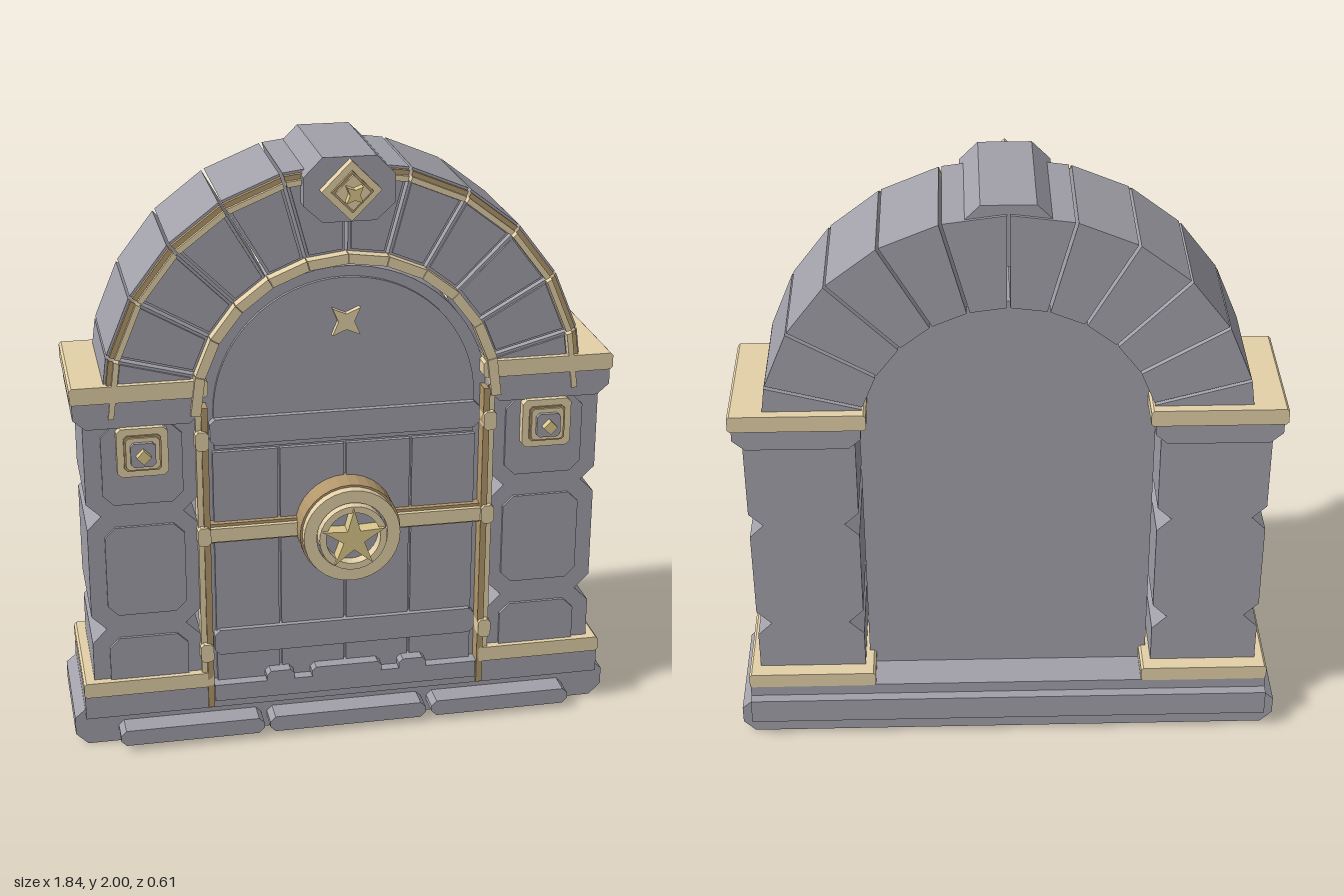
import * as THREE from 'three';

const mat = (name, color) => new THREE.MeshStandardMaterial({ name, color });

export function createModel() {
  const stone = mat('stone', 0xa2a1aa);
  const tan = mat('tan trim', 0xe4d1a8);
  const brown = mat('brown trim', 0xb3976c);
  const gold = mat('gold', 0xdcc88c);
  const model = new THREE.Group();
  model.name = 'archedDoorway';

  const toShape = (pts) => new THREE.Shape(pts.map(([x, y]) => new THREE.Vector2(x, y)));
  // Flat outline extruded from z0 to z1
  function slab(name, shape, z0, z1, material, parent = model) {
    const s = Array.isArray(shape) ? toShape(shape) : shape;
    const geo = new THREE.ExtrudeGeometry(s, { depth: z1 - z0, bevelEnabled: false, curveSegments: 16 });
    geo.translate(0, 0, z0);
    const mesh = new THREE.Mesh(geo, material);
    mesh.name = name;
    parent.add(mesh);
    return mesh;
  }
  // Rectangle with cut corners
  const cut = (x0, x1, y0, y1, c) => [
    [x0 + c, y0], [x1 - c, y0], [x1, y0 + c], [x1, y1 - c],
    [x1 - c, y1], [x0 + c, y1], [x0, y1 - c], [x0, y0 + c]];
  const rect = (x0, x1, y0, y1) => [[x0, y0], [x1, y0], [x1, y1], [x0, y1]];
  const diamond = (x, y, r) => [[x + r, y], [x, y + r], [x - r, y], [x, y - r]];
  function star(x, y, n, r, inner, turn = Math.PI / 2) {
    const pts = [];
    for (let i = 0; i < n * 2; i++) {
      const a = turn + (i * Math.PI) / n, q = i % 2 ? inner : r;
      pts.push([x + q * Math.cos(a), y + q * Math.sin(a)]);
    }
    return pts;
  }
  function disc(x, y, r, hole = 0) {
    const s = new THREE.Shape();
    s.absarc(x, y, r, 0, Math.PI * 2, false);
    if (hole) s.holes.push(new THREE.Path().absarc(x, y, hole, 0, Math.PI * 2, true));
    return s;
  }
  // Upright panel with a round top
  function archShape(w, y0, yc) {
    const s = new THREE.Shape();
    s.moveTo(-w, y0);
    s.lineTo(w, y0);
    s.lineTo(w, yc);
    s.absarc(0, yc, w, 0, Math.PI, false);
    s.lineTo(-w, y0);
    return s;
  }

  // Base: wide foot, top course, back strip and front kerb stones
  slab('baseFoot', [[-0.88, 0], [0.88, 0], [0.92, 0.04], [0.92, 0.1], [0.885, 0.13],
    [-0.885, 0.13], [-0.92, 0.1], [-0.92, 0.04]], -0.265, 0.14, stone);
  slab('baseTop', rect(-0.885, 0.885, 0.115, 0.2), -0.27, 0.18, stone);
  slab('baseBackStrip', rect(-0.885, 0.885, 0.07, 0.16), -0.304, -0.26, stone);
  for (const [a, b] of [[-0.775, -0.29], [-0.27, 0.27], [0.29, 0.775]])
    slab('kerbStone', cut(a, b, 0.022, 0.077, 0.018), 0.13, 0.22, stone);
  slab('threshold', rect(-0.45, 0.45, 0.14, 0.2), 0.12, 0.186, stone);
  for (const [a, b] of [[-0.275, -0.18], [-0.12, 0.12], [0.18, 0.275]])
    slab('stepPlate', cut(a, b, 0.19, 0.236, 0.014), 0.12, 0.19, stone);

  // Door with planks and rails
  const door = new THREE.Group();
  door.name = 'door';
  model.add(door);
  slab('doorSlab', archShape(0.478, 0.18, 1.15), -0.145, 0.135, stone, door);
  slab('doorUpperPanel', archShape(0.43, 1.04, 1.165), 0.13, 0.148, stone, door);
  for (let i = 0; i < 4; i++) {
    const x = -0.44 + i * 0.22;
    slab('plank', rect(x + 0.004, x + 0.216, 0.2, 1.03), 0.13, 0.15, stone, door);
  }
  for (const y of [0.305, 1.06])
    slab('doorRail', cut(-0.445, 0.445, y, y + 0.09, 0.018), 0.13, 0.168, stone, door);
  slab('doorStar', star(0, 1.453, 4, 0.064, 0.026, Math.PI / 4), 0.14, 0.17, tan, door);
  slab('crossBarBack', rect(-0.47, 0.47, 0.718, 0.785), 0.13, 0.168, brown, door);
  slab('crossBar', rect(-0.47, 0.47, 0.728, 0.775), 0.15, 0.184, tan, door);

  // Round medallion
  const medal = new THREE.Group();
  medal.name = 'medallion';
  medal.position.y = 0.752;
  door.add(medal);
  slab('medallionBase', disc(0, 0, 0.167), 0.13, 0.24, brown, medal);
  slab('medallionRing', disc(0, 0, 0.16, 0.118), 0.23, 0.272, tan, medal);
  slab('medallionFace', disc(0, 0, 0.12), 0.23, 0.25, stone, medal);
  slab('medallionInnerRing', disc(0, 0, 0.112, 0.09), 0.245, 0.29, tan, medal);
  slab('medallionStar', star(0, 0, 5, 0.107, 0.036), 0.245, 0.302, gold, medal);

  // Pillars, mirrored left and right
  for (const side of [1, -1]) {
    const p = new THREE.Group();
    p.name = side > 0 ? 'leftPillar' : 'rightPillar';
    model.add(p);
    // mirrored outlines are reversed so that they keep their winding
    const m = (pts) => (side > 0 ? pts : pts.map(([x, y]) => [-x, y]).reverse());
    const add = (n, pts, a, b, c) => slab(n, m(pts), a, b, c, p);
    add('blockLow', [[0.49, 0.2], [0.85, 0.2], [0.85, 0.385], [0.8, 0.435], [0.54, 0.435], [0.49, 0.385]], -0.22, 0.16, stone);
    add('blockMiddle', cut(0.49, 0.85, 0.435, 0.842, 0.048), -0.22, 0.16, stone);
    add('blockTop', [[0.535, 0.842], [0.805, 0.842], [0.85, 0.885], [0.85, 1.16], [0.49, 1.16], [0.49, 0.885]], -0.22, 0.16, stone);
    for (const [a, b] of [[0.2, 0.4], [0.485, 0.8], [0.88, 1.15]])
      add('blockPanel', cut(0.535, 0.795, a, b, 0.035), 0.15, 0.17, stone);
    add('capStone', [[0.51, 1.15], [0.84, 1.15], [0.88, 1.185], [0.88, 1.245], [0.47, 1.245], [0.47, 1.185]], -0.24, 0.18, stone);
    add('capTrim', cut(0.45, 0.887, 1.238, 1.294, 0.008), -0.272, 0.188, tan);
    add('footTrim', cut(0.455, 0.887, 0.198, 0.25, 0.008), -0.272, 0.188, tan);
    // Square rosette
    const x = 0.665, y = 1.07;
    const sq = (r, c) => cut(x - r, x + r, y - r, y + r, c);
    add('rosettePlate', sq(0.082, 0.014), 0.16, 0.2, tan);
    add('rosetteInset', sq(0.06, 0.01), 0.19, 0.206, brown);
    add('rosetteFrame', sq(0.054, 0.01), 0.2, 0.212, tan);
    add('rosetteStone', sq(0.04, 0.01), 0.2, 0.226, stone);
    add('rosetteDiamond', diamond(x, y, 0.024), 0.21, 0.25, gold);
    // Vertical frame rods and clips
    add('frameRodInner', rect(0.453, 0.474, 0.12, 1.2), 0.12, 0.188, brown);
    add('frameRodOuter', rect(0.472, 0.492, 0.2, 1.2), 0.12, 0.18, tan);
    for (const cy of [0.33, 0.755, 1.09])
      add('frameClip', cut(0.453, 0.496, cy - 0.032, cy + 0.032, 0.01), 0.13, 0.2, tan);
  }

  // Arch of twelve wedge stones with trim
  const arch = new THREE.Group();
  arch.name = 'arch';
  model.add(arch);
  const cy = 1.178;
  // straight-sided ring segment, with the same gap along its whole length
  function wedge(i, r0, r1, gap) {
    const a0 = (i * Math.PI) / 12, a1 = ((i + 1) * Math.PI) / 12;
    const pt = (r, a, s) => {
      const t = a + (s * gap) / r;
      return [r * Math.cos(t), cy + r * Math.sin(t)];
    };
    return [pt(r0, a0, 1), pt(r1, a0, 1), pt(r1, a1, -1), pt(r0, a1, -1)];
  }
  for (let i = 0; i < 12; i++) {
    slab('archStone', wedge(i, 0.478, 0.792, 0.005), -0.24, 0.16, stone, arch);
    slab('archStonePanel', wedge(i, 0.515, 0.745, 0.014), 0.15, 0.168, stone, arch);
    slab('archInnerTrim', wedge(i, 0.476, 0.508, 0.001), 0.15, 0.2, tan, arch);
    slab('archOuterTrim', wedge(i, 0.75, 0.768, 0.005), 0.15, 0.188, tan, arch);
    slab('archOuterTrimEdge', wedge(i, 0.768, 0.784, 0.005), 0.15, 0.176, brown, arch);
  }

  // Keystone with diamond emblem
  const key = new THREE.Group();
  key.name = 'keystone';
  model.add(key);
  slab('keystoneBlock', [[-0.085, 1.795], [0.085, 1.795], [0.145, 1.85], [0.145, 1.94],
    [0.085, 2], [-0.085, 2], [-0.145, 1.94], [-0.145, 1.85]], -0.23, 0.215, stone, key);
  slab('keystoneDiamond', diamond(0, 1.9, 0.095), 0.2, 0.25, tan, key);
  slab('keystoneDiamondRim', diamond(0, 1.9, 0.066), 0.24, 0.262, brown, key);
  slab('keystoneDiamondFace', diamond(0, 1.9, 0.056), 0.25, 0.27, tan, key);
  slab('keystoneStar', star(0, 1.9, 4, 0.036, 0.016, Math.PI / 4), 0.265, 0.3, gold, key);

  return model;
}
